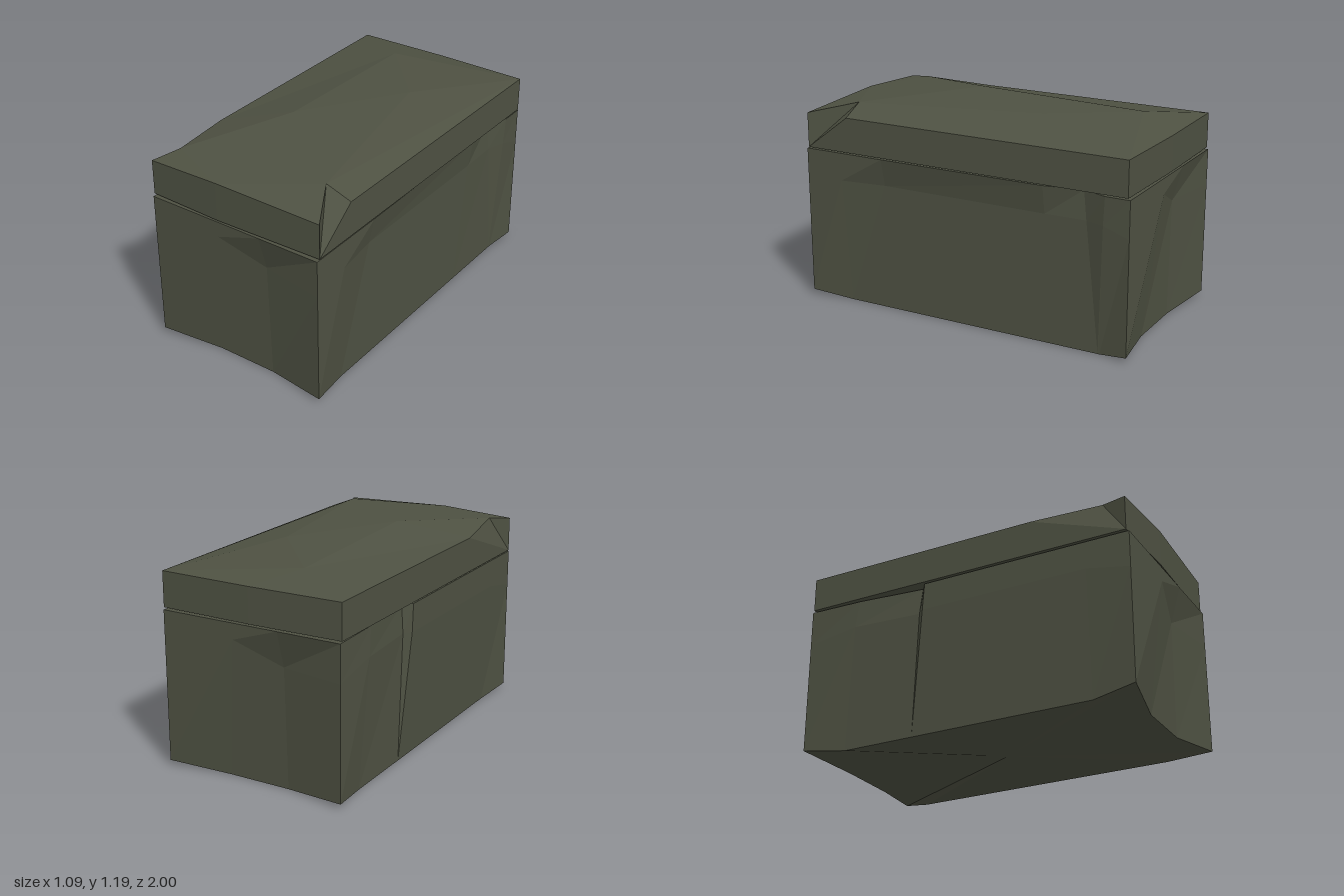
import * as THREE from 'three';

// Flat-shaded mesh from triangles given as a list of Vector3 triples
function facetMesh(name, tris, material) {
  const g = new THREE.BufferGeometry().setFromPoints(tris.flat());
  g.computeVertexNormals();
  const m = new THREE.Mesh(g, material);
  m.name = name;
  return m;
}
const v = (x, y, z) => new THREE.Vector3(x, y, z);

// Chest: upright columns around the outline, each with a foot, a middle and a rim point
function buildChest(material) {
  const corner = (x, z) => [v(x, 0.03, z), v(x, 0.68, z), v(x, 0.89, z)];
  const end = s => [ // chipped end wall, turned round for the back
    corner(-0.54 * s, s),
    [v(-0.18 * s, 0, 0.93 * s), v(-0.1 * s, 0.8, s), v(-0.09 * s, 0.89, s)],
    [v(0.18 * s, 0, 0.93 * s), v(0.17 * s, 0.68, 0.94 * s), v(0.17 * s, 0.89, s)],
    corner(0.54 * s, s),
  ];
  const side = (x0, z0, x1, y1, z1, x2, z2) => [v(x0, 0, z0), v(x1, y1, z1), v(x2, 0.89, z2)];
  const columns = [
    ...end(1),
    side(0.5, 0.75, 0.54, 0.73, 0.77, 0.54, 0.8),
    side(0.5, 0.42, 0.505, 0.73, 0.5, 0.54, 0.5),
    side(0.5, -0.4, 0.505, 0.73, -0.5, 0.53, -0.5),
    side(0.5, -0.82, 0.5, 0.73, -0.74, 0.49, -0.72),
    side(0.5, -0.83, 0.535, 0.73, -0.85, 0.54, -0.86),
    ...end(-1),
    side(-0.5, -0.75, -0.535, 0.73, -0.7, -0.53, -0.68),
    side(-0.5, -0.32, -0.505, 0.73, -0.29, -0.49, -0.28),
    side(-0.5, -0.31, -0.54, 0.73, -0.25, -0.54, -0.24),
    side(-0.5, 0.75, -0.54, 0.73, 0.75, -0.54, 0.75),
  ];
  const tris = [], base = v(0, 0, 0), lid = v(0, 0.89, 0);
  columns.forEach((a, i) => {
    const b = columns[(i + 1) % columns.length];
    for (let k = 0; k < 2; k++) {
      tris.push([a[k], b[k], b[k + 1]], [a[k], b[k + 1], a[k + 1]]);
    }
    tris.push([base, b[0], a[0]], [lid, a[2], b[2]]);
  });
  return facetMesh('chest', tris, material);
}

// Lid: slab with a crooked ridge and two broken front corners
function buildLid(material) {
  const outline = { // name: x, top height, z
    fl: [-0.545, 1.1, 0.985], fm: [-0.1, 1.12, 1], fr: [0.545, 1.1, 0.985], r: [0.545, 1.1, 0.72],
    br: [0.545, 1.1, -0.99], bm: [0, 1.1, -1], bl: [-0.545, 1.1, -0.99], l: [-0.545, 1.1, 0.43],
  };
  const p = {
    chipR: v(0.4, 1.16, 0.73), chipL: v(-0.48, 1.125, 0.83),
    peak: v(-0.17, 1.19, 0.25), ridge: v(0.2, 1.18, -0.33), rear: v(-0.18, 1.16, -0.75),
  };
  for (const [n, [x, y, z]] of Object.entries(outline)) {
    p[n] = v(x, y, z);
    p[n + '0'] = v(x, 0.9, z); // matching lower edge
  }
  const faces = [
    // sloping top
    'fl fm chipL', 'chipL fm peak', 'fm chipR peak', 'fm fr chipR', 'chipR r br', 'chipR br ridge',
    'chipR ridge peak', 'ridge br rear', 'br bm rear', 'bm bl rear', 'rear bl l', 'rear l peak',
    'l chipL peak', 'peak ridge rear',
    // broken corners
    'fr fr0 chipR', 'chipR fr0 r', 'fr0 r0 r', 'fl chipL fl0', 'chipL l fl0', 'l0 fl0 l',
    // upright edges
    'fl0 fm0 fm fl', 'fm0 fr0 fr fm', 'r0 br0 br r', 'br0 bm0 bm br', 'bm0 bl0 bl bm', 'bl0 l0 l bl',
    // underside
    'fl0 l0 bl0 bm0 br0 r0 fr0 fm0',
  ];
  const tris = [];
  for (const face of faces) {
    const q = face.split(' ').map(n => p[n]);
    for (let i = 1; i < q.length - 1; i++) tris.push([q[0], q[i], q[i + 1]]);
  }
  return facetMesh('lid', tris, material);
}

export function createModel() {
  const stone = new THREE.MeshStandardMaterial({ color: 0x4e5142, flatShading: true, side: THREE.DoubleSide });
  stone.name = 'mossy stone';
  const model = new THREE.Group();
  model.name = 'stone chest with lid';
  model.add(buildChest(stone), buildLid(stone));
  return model;
}
